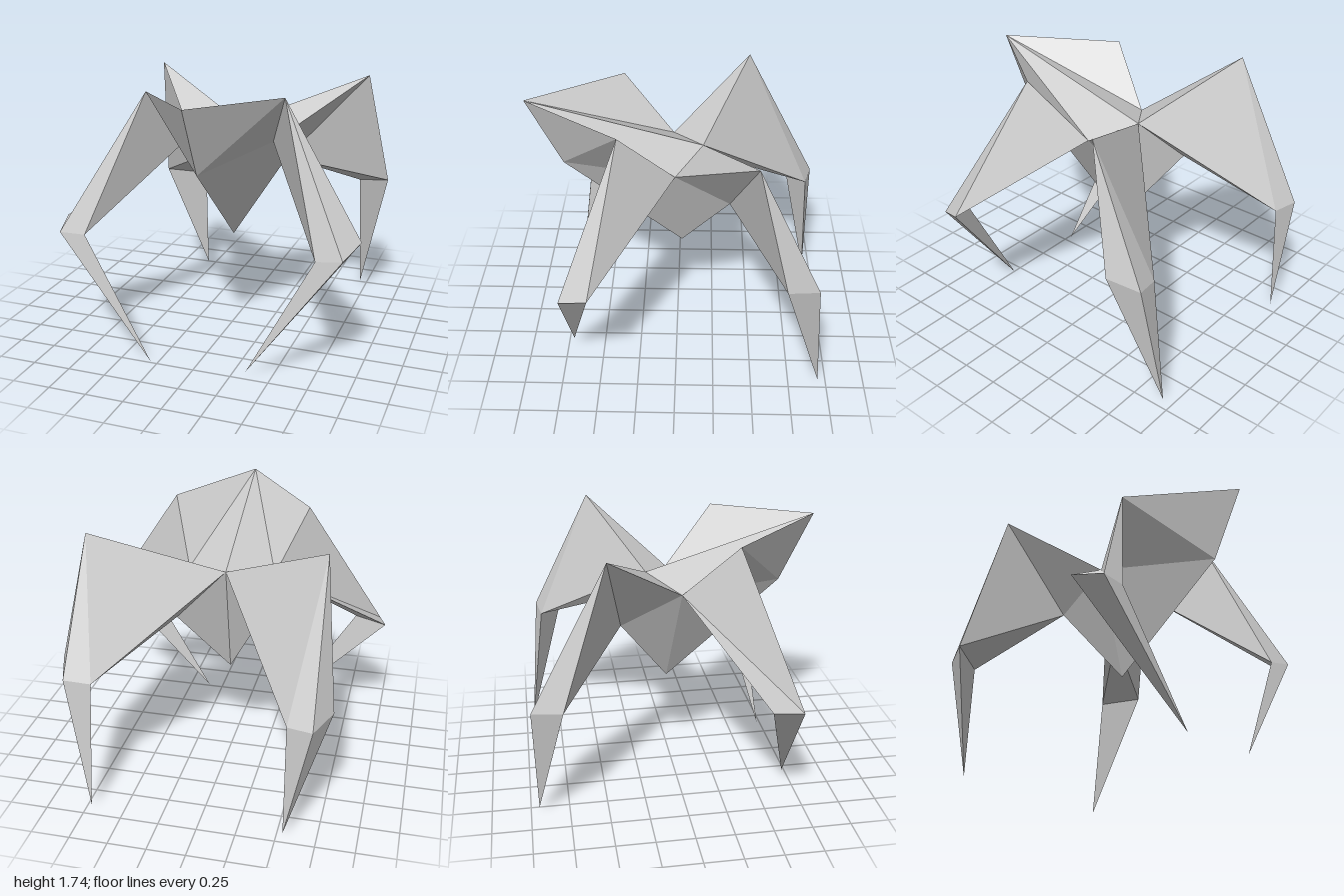
import * as THREE from 'three';

const material = new THREE.MeshStandardMaterial({
  color: 0xcccccc, flatShading: true, side: THREE.DoubleSide,
});

// Points on the body's centre line
const nose = [0.042, 1.737, 0.963];
const chin = [0.04, 1.29, 0.742];
const belly = [0, 0.655, -0.03];
const rump = [0, 1.405, -0.165];

// Each side: body points, then per leg its shoulder, three knee corners and foot.
// Front knees run outer, front, inner; back knees run inner, rear, outer.
const sides = {
  left: {
    flip: false,
    hollow: false,
    waist: [0.287, 1.34, 0.01],
    hip: [0.28, 1.14, -0.338],
    front: {
      shoulder: [0.462, 1.712, 0.352],
      knee: [[1.0, 0.91, 0.517], [0.93, 0.845, 0.7], [0.757, 0.813, 0.672]],
      foot: [0.34, 0.03, 0.715],
    },
    back: {
      shoulder: [0.803, 1.72, -0.48],
      knee: [[0.695, 0.875, -0.845], [0.862, 0.9, -0.877], [0.93, 0.945, -0.675]],
      foot: [0.71, 0.03, -0.945],
    },
  },
  right: {
    flip: true,
    hollow: true,
    waist: [-0.283, 1.336, 0.03],
    hip: [-0.24, 1.137, -0.36],
    front: {
      shoulder: [-0.45, 1.69, 0.365],
      knee: [[-1.0, 0.835, 0.457], [-0.95, 0.79, 0.668], [-0.777, 0.788, 0.658]],
      foot: [-0.3, 0, 0.735],
    },
    back: {
      shoulder: [-0.692, 1.72, -0.48],
      knee: [[-0.54, 0.785, -0.915], [-0.703, 0.795, -0.963], [-0.8, 0.83, -0.77]],
      foot: [-0.54, 0.025, -0.945],
    },
  },
};

// Mesh from triangles, mirrored sides reverse the corner order
function facets(name, faces, flip) {
  const corners = faces.flatMap((f) => (flip ? [f[0], f[2], f[1]] : f));
  const geometry = new THREE.BufferGeometry();
  geometry.setAttribute('position', new THREE.Float32BufferAttribute(corners.flat(), 3));
  geometry.computeVertexNormals();
  const mesh = new THREE.Mesh(geometry, material);
  mesh.name = name;
  return mesh;
}

// Upper leg from the given faces, then a spike from knee to foot
function makeLeg(name, upperFaces, { knee, foot }, flip) {
  const spike = knee.map((corner, i) => [corner, knee[(i + 1) % 3], foot]);
  const group = new THREE.Group();
  group.name = name;
  group.add(facets('upperLeg', upperFaces, flip), facets('lowerLeg', spike, flip));
  return group;
}

// Front upper leg: a wedge from the shoulder-waist edge to the knee
function frontLegFaces({ shoulder, knee: [outer, front, inner] }, waist, hollow) {
  const outside = hollow
    ? [[waist, shoulder, front], [waist, front, outer]]
    : [[waist, shoulder, outer], [outer, shoulder, front]];
  return [
    ...outside,
    [front, shoulder, inner],
    [inner, shoulder, waist],
    [waist, outer, inner],
  ];
}

// Back upper leg: grows out of the waist-rump-hip triangle
function backLegFaces({ shoulder, knee: [inner, rear, outer] }, waist, hip) {
  return [
    [waist, shoulder, rump],
    [rump, shoulder, inner],
    [shoulder, rear, inner],
    [rear, shoulder, outer],
    [outer, shoulder, hip],
    [hip, shoulder, waist],
    [outer, hip, inner],
    [inner, hip, rump],
  ];
}

export function createModel() {
  const model = new THREE.Group();
  model.name = 'fourLeggedWalker';

  for (const [side, { flip, hollow, waist, hip, front, back }] of Object.entries(sides)) {
    // Half of the body: back, brow, snout underside, flank and rear
    const brow = front.shoulder;
    model.add(facets(`${side}Body`, [
      [nose, waist, rump],
      [nose, brow, waist],
      [nose, chin, brow],
      [brow, chin, waist],
      [waist, chin, belly],
      [waist, belly, hip],
      [hip, belly, rump],
    ], flip));

    model.add(makeLeg(`${side}FrontLeg`, frontLegFaces(front, waist, hollow), front, flip));
    model.add(makeLeg(`${side}BackLeg`, backLegFaces(back, waist, hip), back, flip));
  }
  return model;
}
